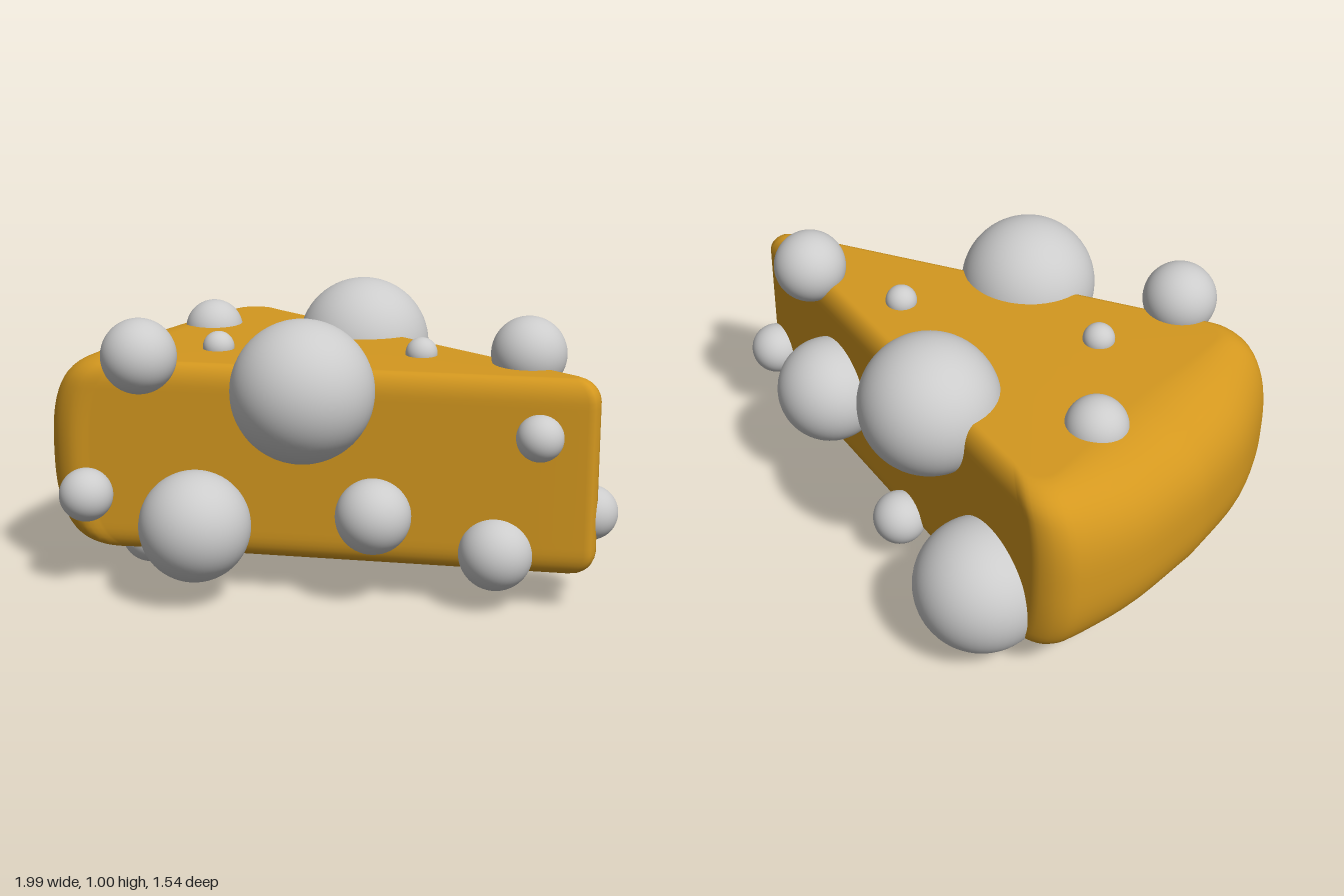
import * as THREE from 'three';

const MID = 0.475, HALF = 0.34;            // wedge mid height and half height
const sideLine = (x) => 0.35 - 0.333 * x;  // half width of the straight sides

// Half of the wedge outline at mid height, from rind centre to tip: [x, z]
function halfOutline() {
  const rind = new THREE.SplineCurve([
    [-1, 0], [-0.975, 0.29], [-0.905, 0.51], [-0.85, 0.583], [-0.77, 0.606], [-0.7, 0.583],
  ].map(([x, z]) => new THREE.Vector2(x, z)));
  const points = rind.getPoints(22).map((p) => [p.x, p.y]);
  for (let i = 1; i <= 8; i++) {
    const x = THREE.MathUtils.lerp(-0.7, 0.925, i / 8);
    points.push([x, sideLine(x)]);
  }
  points.push([0.945, 0.025], [0.95, 0]);
  return points;
}

// Stacked outlines, drawn in towards top and bottom for rounded edges
function wedgeGeometry() {
  const half = halfOutline();
  const outline = [...half, ...half.slice(1, -1).reverse().map(([x, z]) => [x, -z])];
  const n = outline.length, layers = 32;
  const pos = [], index = [];
  for (let j = 0; j <= layers; j++) {
    const r = Math.sin((j / layers - 0.5) * Math.PI);
    const a = Math.min(1, Math.abs(r));
    const bulge = 1 - Math.sqrt(1 - a ** 2.7);
    const u = Math.max(0, (a - 0.76) / 0.24);
    const round = 1 - Math.sqrt(1 - u * u);
    for (const [x, z] of outline) {
      const rindInset = (0.3 - 0.14 * (z / 0.6) ** 2) * bulge;
      const t = (x + 1) / 1.95;
      const nx = x + rindInset * (1 - t) - 0.085 * round * t;
      const w = sideLine(x);
      const nz = Math.abs(z) * sideLine(nx) / w - 0.05 * round * Math.min(1, Math.abs(z) / w);
      pos.push(nx, MID + HALF * r, Math.sign(z) * nz + 0.01);
    }
  }
  for (let j = 0; j < layers; j++) {
    for (let i = 0; i < n; i++) {
      const k = (i + 1) % n;
      const a = j * n + i, b = j * n + k;
      index.push(a, b, b + n, a, b + n, a + n);
    }
  }
  // Flat caps
  const bottom = pos.length / 3, top = bottom + 1;
  pos.push(-0.2, MID - HALF, 0.01, -0.2, MID + HALF, 0.01);
  for (let i = 0; i < n; i++) {
    const k = (i + 1) % n;
    index.push(bottom, k, i, top, layers * n + i, layers * n + k);
  }
  const geo = new THREE.BufferGeometry();
  geo.setAttribute('position', new THREE.Float32BufferAttribute(pos, 3));
  geo.setIndex(index);
  geo.computeVertexNormals();
  return geo;
}

// Balls set into each face: [x, y, z, radius]
const balls = {
  front: [
    [0.05, 0.755, 0.41, 0.243], [-0.28, 0.28, 0.578, 0.192], [-0.505, 0.845, 0.56, 0.13],
    [0.78, 0.617, 0.103, 0.08], [-0.69, 0.347, 0.64, 0.094], [0.26, 0.32, 0.3, 0.13],
    [0.64, 0.2, 0.13, 0.127],
  ],
  back: [
    [-0.14, 0.755, -0.37, 0.243], [0.64, 0.845, -0.115, 0.13], [0.457, 0.446, -0.233, 0.192],
    [-0.505, 0.282, -0.543, 0.232], [0, 0.178, -0.38, 0.096], [0.9, 0.332, -0.068, 0.094],
  ],
  top: [[-0.67, 0.795, -0.16, 0.107], [0.265, 0.82, -0.045, 0.056], [-0.41, 0.82, 0.21, 0.056]],
  bottom: [[-0.67, 0.11, 0.29, 0.107], [0.155, 0.14, -0.1, 0.055], [-0.43, 0.14, -0.2, 0.055]],
};

export function createModel() {
  const model = new THREE.Group();
  model.name = 'cheeseWedge';

  const wedge = new THREE.Mesh(wedgeGeometry(), new THREE.MeshStandardMaterial({ color: 0xd4981f }));
  wedge.name = 'wedge';
  model.add(wedge);

  const grey = new THREE.MeshStandardMaterial({ color: 0xcccccc });
  const sphere = new THREE.SphereGeometry(1, 48, 32);
  for (const [face, list] of Object.entries(balls)) {
    const group = new THREE.Group();
    group.name = `${face}Balls`;
    list.forEach(([x, y, z, r], i) => {
      const ball = new THREE.Mesh(sphere, grey);
      ball.name = `${face}Ball${i + 1}`;
      ball.position.set(x, y, z);
      ball.scale.setScalar(r);
      group.add(ball);
    });
    model.add(group);
  }
  return model;
}
